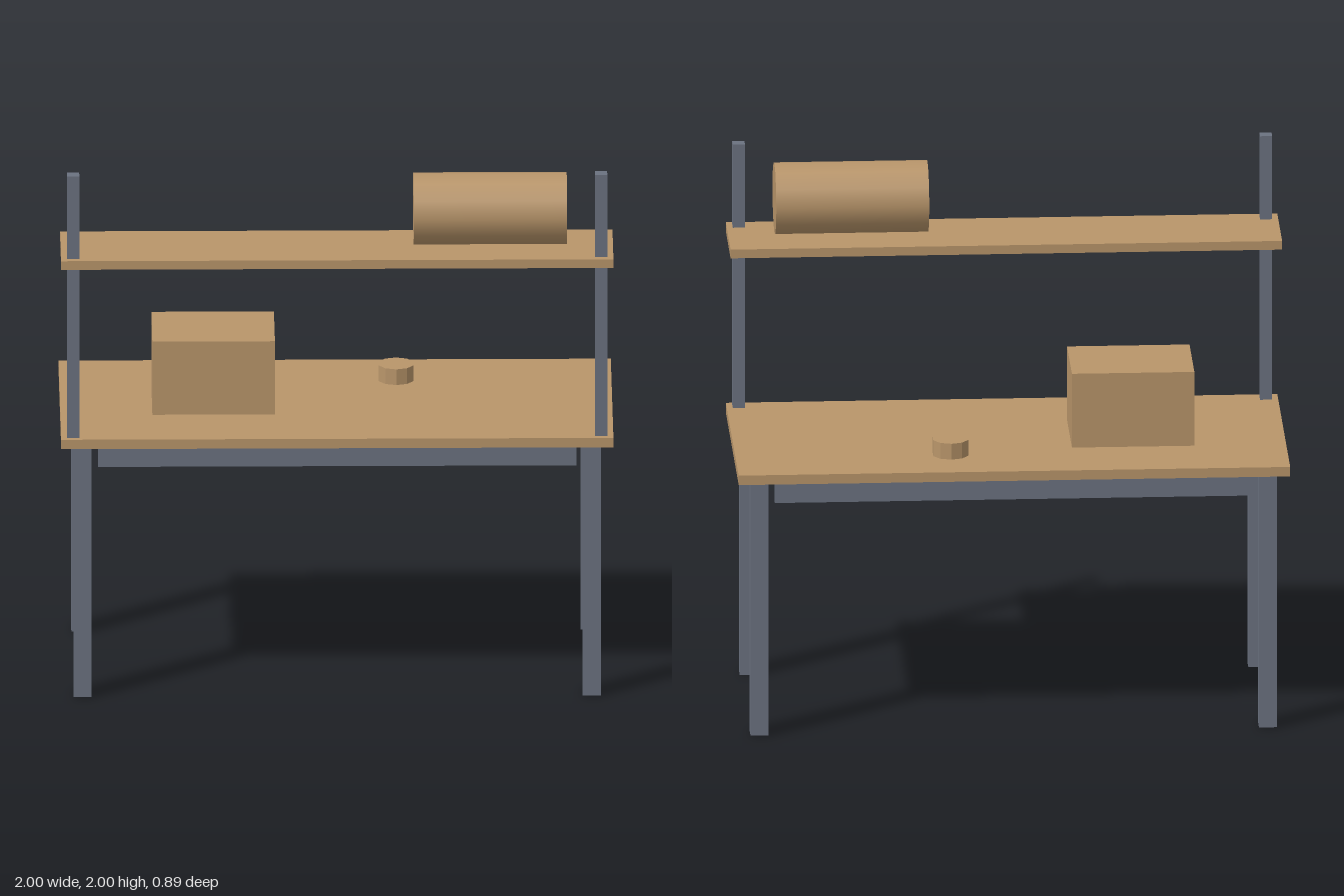
import * as THREE from 'three';

export function createModel() {
  const model = new THREE.Group();
  model.name = 'workbench';
  const wood = new THREE.MeshStandardMaterial({ color: 0xb8956a });
  wood.name = 'wood';
  const metal = new THREE.MeshStandardMaterial({ color: 0x6b7280 });
  metal.name = 'metal';

  function add(name, geometry, material, x, y, z) {
    const mesh = new THREE.Mesh(geometry, material);
    mesh.name = name;
    mesh.position.set(x, y, z);
    model.add(mesh);
    return mesh;
  }
  const box = (name, material, w, h, d, x, y, z) =>
    add(name, new THREE.BoxGeometry(w, h, d), material, x, y, z);

  // Worktop and raised shelf
  box('worktop', wood, 2, 0.036, 0.884, 0, 0.982, 0);
  box('shelf', wood, 2, 0.033, 0.333, 0, 1.668, 0.278);

  // Legs, rails and shelf posts
  for (const side of [-1, 1]) {
    const label = side > 0 ? 'left' : 'right';
    for (const end of [-1, 1]) {
      box(`${label}${end > 0 ? 'Front' : 'Back'}Leg`, metal,
        0.066, 0.964, 0.066, side * 0.922, 0.482, end * 0.367);
    }
    box(`${label}ShelfPost`, metal, 0.044, 1, 0.044, side * 0.956, 1.5, 0.398);
    box(side > 0 ? 'frontRail' : 'backRail', metal,
      1.732, 0.088, 0.036, 0, 0.92, side * 0.367);
  }

  // Box on the worktop
  box('storageBox', wood, 0.444, 0.28, 0.333, -0.445, 1.14, 0);

  // Small faceted pot
  const pot = new THREE.CylinderGeometry(0.067, 0.067, 0.06, 10).toNonIndexed();
  pot.computeVertexNormals();
  add('pot', pot, wood, 0.22, 1.03, -0.222);

  // Roll lying on the shelf
  const roll = add('roll', new THREE.CylinderGeometry(0.133, 0.133, 0.555, 12),
    wood, 0.555, 1.825, 0.278);
  roll.rotation.z = Math.PI / 2;

  return model;
}
